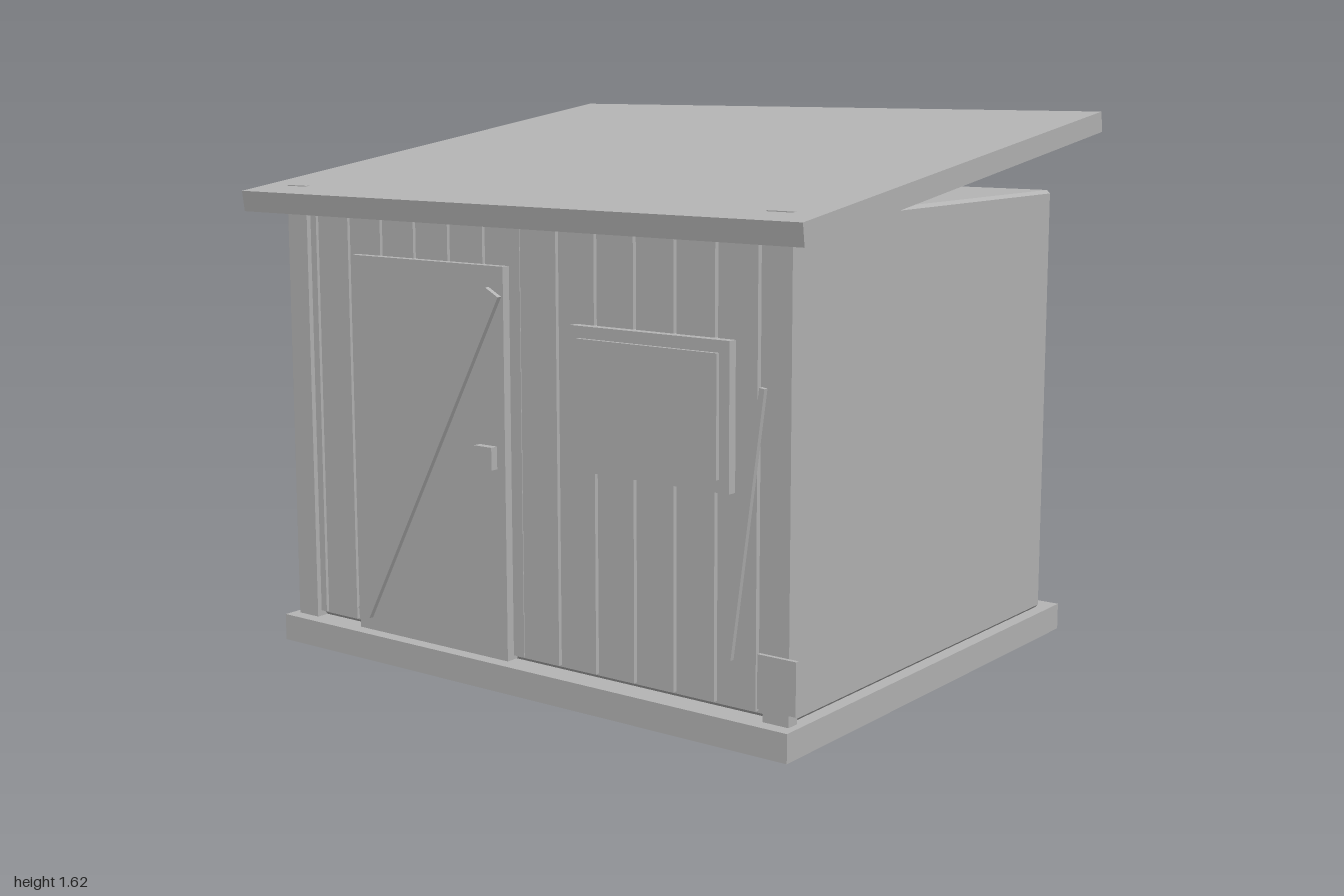
import * as THREE from 'three';
import { ConvexGeometry } from 'three/addons/geometries/ConvexGeometry.js';

export function createModel() {
  const shed = new THREE.Group();
  shed.name = 'shed';
  const grey = new THREE.MeshStandardMaterial({ color: 0xb4b4b4 });
  grey.name = 'plain grey';

  function add(name, geometry) {
    const mesh = new THREE.Mesh(geometry, grey);
    mesh.name = name;
    shed.add(mesh);
    return mesh;
  }

  // Box given by its limits on each axis
  function box(name, x0, x1, y0, y1, z0, z1) {
    const mesh = add(name, new THREE.BoxGeometry(x1 - x0, y1 - y0, z1 - z0));
    mesh.position.set((x0 + x1) / 2, (y0 + y1) / 2, (z0 + z1) / 2);
    return mesh;
  }

  // Box with chamfered edges, from half sizes
  function chamferBox(hx, hy, hz, c) {
    const points = [];
    for (const sx of [-1, 1]) for (const sy of [-1, 1]) for (const sz of [-1, 1]) {
      points.push(
        new THREE.Vector3(sx * hx, sy * (hy - c), sz * (hz - c)),
        new THREE.Vector3(sx * (hx - c), sy * hy, sz * (hz - c)),
        new THREE.Vector3(sx * (hx - c), sy * (hy - c), sz * hz));
    }
    return new ConvexGeometry(points);
  }

  // Floor slab and main body
  box('floorSlab', -0.93, 0.93, 0, 0.08, -0.77, 0.77);
  add('walls', chamferBox(0.9, 0.652, 0.7, 0.01)).position.y = 0.732;

  // Corner posts
  for (const s of [-1, 1]) {
    box('cornerPost', s * 0.868 - 0.04, s * 0.868 + 0.04, 0.08, 1.403, 0.69, 0.73);
  }

  // Vertical boards with narrow gaps
  const pitch = 0.1333;
  for (let i = -6; i < 6; i++) {
    const gapL = i === 0 ? 0.001 : 0.005;
    const gapR = i === -1 ? 0.001 : 0.005;
    box('frontBoard', i * pitch + gapL, (i + 1) * pitch - gapR, 0.097, 1.36, 0.695, 0.715);
  }
  for (const s of [-1, 1]) {
    box('edgeBoard', s * 0.82 - 0.015, s * 0.82 + 0.015, 0.097, 1.36, 0.695, 0.715);
  }

  // Door with diagonal brace and handle
  box('door', -0.63, -0.04, 0.085, 1.21, 0.7, 0.741);
  const brace = add('doorBrace', new THREE.BoxGeometry(0.052, 1.135, 0.02));
  brace.position.set(-0.335, 0.637, 0.746);
  brace.rotation.z = -0.487;
  box('doorHandle', -0.135, -0.07, 0.638, 0.703, 0.735, 0.765);

  // Window
  box('windowFrame', 0.2, 0.727, 0.67, 1.068, 0.7, 0.743);
  box('windowPane', 0.23, 0.695, 0.705, 1.035, 0.74, 0.755);

  // Leaning shovel
  const shaft = add('shovelShaft', new THREE.BoxGeometry(0.016, 0.727, 0.014));
  shaft.position.set(0.798, 0.602, 0.767);
  shaft.rotation.z = -0.138;
  box('shovelBlade', 0.84, 0.958, 0.13, 0.275, 0.762, 0.774);

  // Sloping roof, high at the back
  const roof = add('roof', new THREE.BoxGeometry(2, 0.062, 1.662));
  roof.position.y = 1.472;
  roof.rotation.x = 0.14;

  return shed;
}
